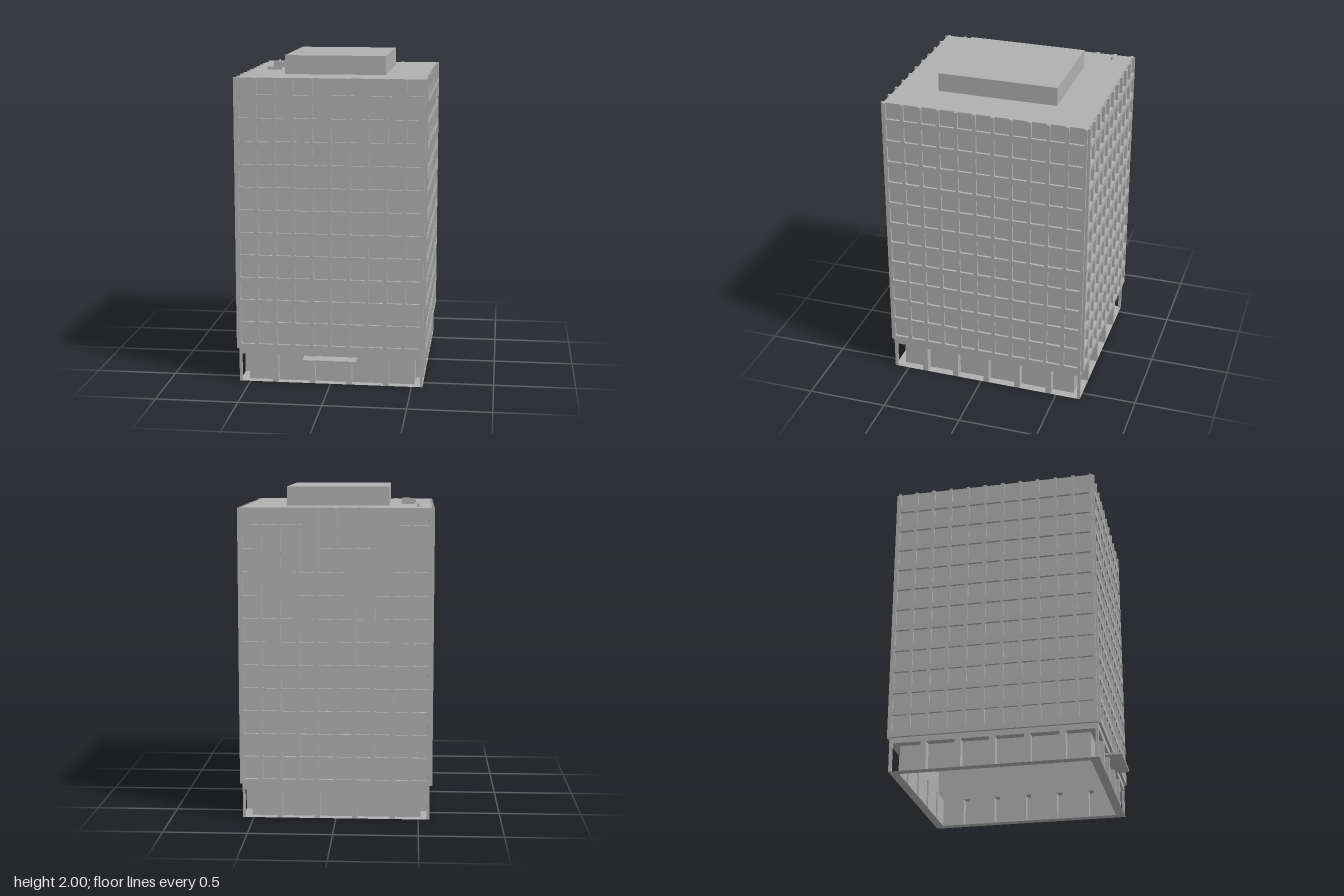
import * as THREE from 'three';

const HX = 0.568, HZ = 0.625, CZ = -0.033;      // wall half sizes and centre
const GRID = 0.016, RECESS = 0.053;             // window grid depth, ground floor recess
const Y_BAY = 0.175, Y_GRID = 0.21, Y_ROOF = 1.885;
const PITCH = 0.1127, WIN = 0.092, ROW = 0.14, WIN_H = 0.105, SILL = 0.244;

const concrete = new THREE.MeshStandardMaterial({ color: 0xb0b0b0, side: THREE.DoubleSide });
concrete.name = 'concrete grey';

function add(parent, name, geometry, x = 0, y = 0, z = 0) {
  const mesh = new THREE.Mesh(geometry, concrete);
  mesh.name = name;
  mesh.position.set(x, y, z);
  parent.add(mesh);
  return mesh;
}

// box given by its lower and upper corners
function block(parent, name, x0, x1, y0, y1, z0, z1) {
  return add(parent, name, new THREE.BoxGeometry(x1 - x0, y1 - y0, z1 - z0),
    (x0 + x1) / 2, (y0 + y1) / 2, (z0 + z1) / 2);
}

// leaves out one side of a box (0..5 = +x -x +y -y +z -z)
function openBox(w, h, d, side) {
  const geometry = new THREE.BoxGeometry(w, h, d);
  geometry.setIndex(Array.from(geometry.index.array).filter((v, i) => Math.floor(i / 6) !== side));
  geometry.clearGroups();
  return geometry;
}

function rectangle(ShapeType, hx, hy) {
  return new ShapeType([[-hx, -hy], [hx, -hy], [hx, hy], [-hx, hy]].map(p => new THREE.Vector2(...p)));
}

// raised window grid, with the top row of windows open at the roof line
function gridGeometry(half, columns) {
  const centre = i => (i - (columns - 1) / 2) * PITCH;
  const shape = new THREE.Shape();
  const topSill = SILL + 11 * ROW;
  shape.moveTo(-half, Y_GRID);
  shape.lineTo(half, Y_GRID);
  shape.lineTo(half, Y_ROOF);
  for (let i = columns - 1; i >= 0; i--) {
    const r = centre(i) + WIN / 2, l = centre(i) - WIN / 2;
    shape.lineTo(r, Y_ROOF);
    shape.lineTo(r, topSill);
    shape.lineTo(l, topSill);
    shape.lineTo(l, Y_ROOF);
  }
  shape.lineTo(-half, Y_ROOF);
  shape.closePath();
  const c = 0.005; // small cut corners
  for (let row = 0; row < 11; row++) {
    const y0 = SILL + row * ROW, y1 = y0 + WIN_H;
    for (let i = 0; i < columns; i++) {
      const x0 = centre(i) - WIN / 2, x1 = x0 + WIN;
      shape.holes.push(new THREE.Path([
        [x0 + c, y0], [x0, y0 + c], [x0, y1 - c], [x0 + c, y1],
        [x1 - c, y1], [x1, y1 - c], [x1, y0 + c], [x1 - c, y0],
      ].map(p => new THREE.Vector2(...p))));
    }
  }
  return new THREE.ExtrudeGeometry(shape, { depth: GRID, bevelEnabled: false });
}

// one side of the building, facing local +z
function facade(name, half, dist, columns, bays, bayPitch, bayWidth) {
  const side = new THREE.Group();
  side.name = name;
  add(side, 'windowGrid', gridGeometry(half, columns), 0, 0, dist);
  const inner = half - RECESS;
  for (let i = 0; i < bays; i++) {
    const x = (i - (bays - 1) / 2) * bayPitch;
    const x0 = Math.max(x - bayWidth / 2, -inner), x1 = Math.min(x + bayWidth / 2, inner);
    add(side, 'groundFloorPanel', new THREE.PlaneGeometry(x1 - x0, Y_BAY),
      (x0 + x1) / 2, Y_BAY / 2, dist - RECESS);
    if (i < bays - 1) {
      add(side, 'column', openBox(bayPitch - bayWidth, Y_BAY, RECESS, 5),
        x + bayPitch / 2, Y_BAY / 2, dist - RECESS / 2);
    }
  }
  return side;
}

export function createModel() {
  const model = new THREE.Group();
  model.name = 'officeTower';

  // hollow tower shell, open underneath
  const shellH = Y_ROOF - Y_BAY;
  add(model, 'towerShell', openBox(HX * 2, shellH, HZ * 2, 3), 0, Y_BAY + shellH / 2, CZ);

  // four facades
  ['front', 'left', 'back', 'right'].forEach((label, k) => {
    const side = k % 2 === 0
      ? facade(label + 'Facade', HX, HZ, 10, 5, 0.228, 0.195)
      : facade(label + 'Facade', HZ, HX, 11, 6, 0.208, 0.172);
    side.rotation.y = k * Math.PI / 2;
    side.position.z = CZ;
    model.add(side);
  });

  // floor and ceiling of the ground floor recess
  const ring = rectangle(THREE.Shape, HX, HZ);
  ring.holes.push(rectangle(THREE.Path, HX - RECESS, HZ - RECESS));
  for (const [name, y] of [['recessFloor', 0], ['recessCeiling', Y_BAY]]) {
    add(model, name, new THREE.ShapeGeometry(ring), 0, y, CZ).rotation.x = Math.PI / 2;
  }

  // corner posts
  for (const sx of [-1, 1]) {
    for (const sz of [-1, 1]) {
      add(model, 'cornerPost', new THREE.BoxGeometry(0.016, Y_BAY, 0.018),
        sx * (HX - 0.008), Y_BAY / 2, CZ + sz * (HZ - 0.009));
    }
  }

  // entrance canopy
  block(model, 'canopy', -0.163, 0.163, 0.158, 0.172, 0.54, 0.675);

  // roof structures
  block(model, 'penthouse', -0.31, 0.31, Y_ROOF, 2, -0.403, 0.337);
  block(model, 'roofUnit', -0.463, -0.388, Y_ROOF, 1.922, -0.219, -0.156);
  block(model, 'roofDuct', -0.474, -0.382, Y_ROOF, 1.902, -0.002, 0.022);
  add(model, 'ventPipe', new THREE.CylinderGeometry(0.007, 0.007, 0.02, 12), -0.487, Y_ROOF + 0.01, -0.541);

  return model;
}
